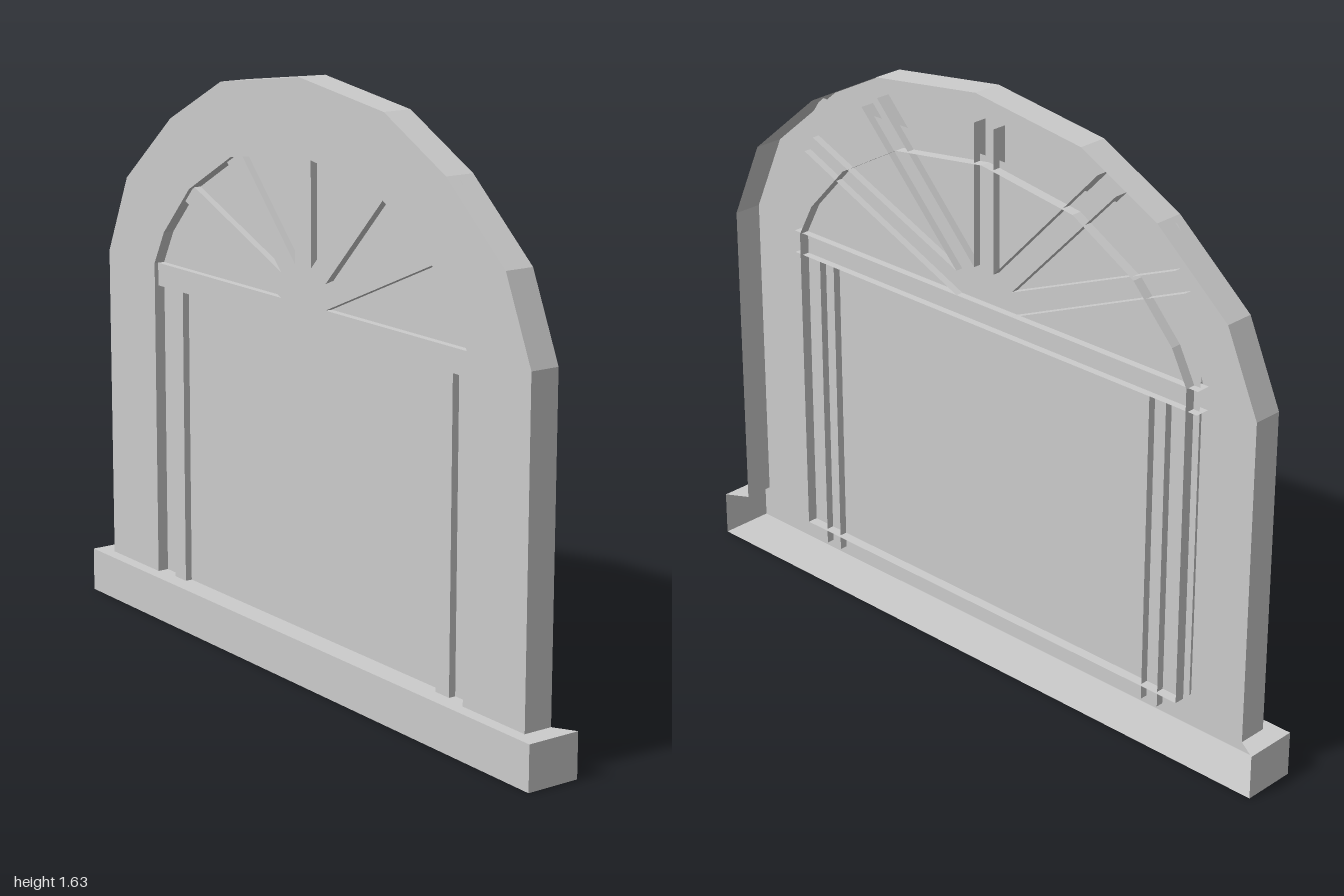
import * as THREE from 'three';

const material = new THREE.MeshStandardMaterial({ color: 0xcccccc, flatShading: true, side: THREE.DoubleSide });

function addMesh(parent, name, geometry) {
  const mesh = new THREE.Mesh(geometry, material);
  mesh.name = name;
  parent.add(mesh);
  return mesh;
}

// Flat face with the given outline at depth z
function face(points, z) {
  const shape = new THREE.Shape(points.map(([x, y]) => new THREE.Vector2(x, y)));
  return new THREE.ShapeGeometry(shape).translate(0, 0, z);
}

// Ribbon of quads following an outline, from depth z0 back to z1
function ribbon(points, z0, z1) {
  const v = [];
  for (let i = 0; i < points.length - 1; i++) {
    const [ax, ay] = points[i], [bx, by] = points[i + 1];
    v.push(ax, ay, z0, ax, ay, z1, bx, by, z1, ax, ay, z0, bx, by, z1, bx, by, z0);
  }
  const g = new THREE.BufferGeometry();
  g.setAttribute('position', new THREE.Float32BufferAttribute(v, 3));
  g.computeVertexNormals();
  return g;
}

// Mirrors a half outline (right foot up to the crown) into a full arch
const arch = (half) => [...half, ...half.slice(0, -1).reverse().map(([x, y]) => [-x, y])];

export function createModel() {
  const model = new THREE.Group();
  model.name = 'archedWindow';

  const FRONT = 0.042, BAR = 0.03, PANE = 0.01, BASE = 0.125;
  const outer = arch([[0.94, BASE], [0.94, 1.03], [0.84, 1.255], [0.61, 1.45], [0.36, 1.578], [0, 1.627]]);
  const inner = arch([[0.7, BASE], [0.7, 1.03], [0.65, 1.125], [0.52, 1.265], [0.315, 1.38], [0, 1.425]]);

  // Surround: hollow shell, open at the back
  const surround = new THREE.Group();
  surround.name = 'surround';
  addMesh(surround, 'surroundFace', face([...outer, ...[...inner].reverse()], FRONT));
  addMesh(surround, 'surroundEdge', ribbon(outer, FRONT, -FRONT));
  addMesh(surround, 'openingReveal', ribbon([...inner, inner[0]], FRONT, -0.02));
  model.add(surround);

  // Glass sheet behind the opening
  addMesh(model, 'glass', face([[-0.72, 0.06], [0.72, 0.06], [0.72, 1.31], [0.63, 1.44], [-0.63, 1.44], [-0.72, 1.31]], PANE));

  // Glazing bars: channels open at the back, given by their two long edges
  const bars = new THREE.Group();
  bars.name = 'glazingBars';
  model.add(bars);
  function channel(name, a0, a1, b1, b0) {
    addMesh(bars, name + 'Face', face([a0, a1, b1, b0], BAR));
    addMesh(bars, name + 'SideA', ribbon([a0, a1], BAR, -0.012));
    addMesh(bars, name + 'SideB', ribbon([b0, b1], BAR, -0.012));
  }
  channel('transom', [-0.73, 0.965], [0.73, 0.965], [0.73, 1.03], [-0.73, 1.03]);
  channel('centreSpoke', [-0.035, 1.13], [-0.035, 1.53], [0.035, 1.53], [0.035, 1.13]);
  for (const s of [1, -1]) {
    const side = s > 0 ? 'left' : 'right';
    channel(side + 'Post', [s * 0.575, 0.08], [s * 0.575, 0.965], [s * 0.63, 0.965], [s * 0.63, 0.08]);
    channel(side + 'UpperSpoke', [s * 0.035, 1.13], [s * 0.39, 1.505], [s * 0.45, 1.465], [s * 0.1, 1.1]);
    channel(side + 'LowerSpoke', [s * 0.1, 1.1], [s * 0.645, 1.327], [s * 0.68, 1.278], [s * 0.1, 1.03]);
  }
  // Hub where the spokes meet
  addMesh(bars, 'spokeHub', face([[-0.1, 1.03], [0.1, 1.03], [0.1, 1.1], [0.035, 1.13], [-0.035, 1.13], [-0.1, 1.1]], BAR));

  // Sill: hollow box, open at the back; drawn in plan and laid flat
  const sill = new THREE.Group();
  sill.name = 'sill';
  const D = 0.0775;
  const plan = [[-1, D], [-1, -D], [1, -D], [1, D]];
  const rim = [...plan, [0.94, FRONT], [0.94, -FRONT], [-0.94, -FRONT], [-0.94, FRONT]];
  const parts = { sillTop: face(rim, BASE), sillSides: ribbon(plan, 0, BASE), sillBottom: face(plan, 0) };
  for (const [name, geometry] of Object.entries(parts)) addMesh(sill, name, geometry.rotateX(-Math.PI / 2));
  model.add(sill);

  return model;
}
